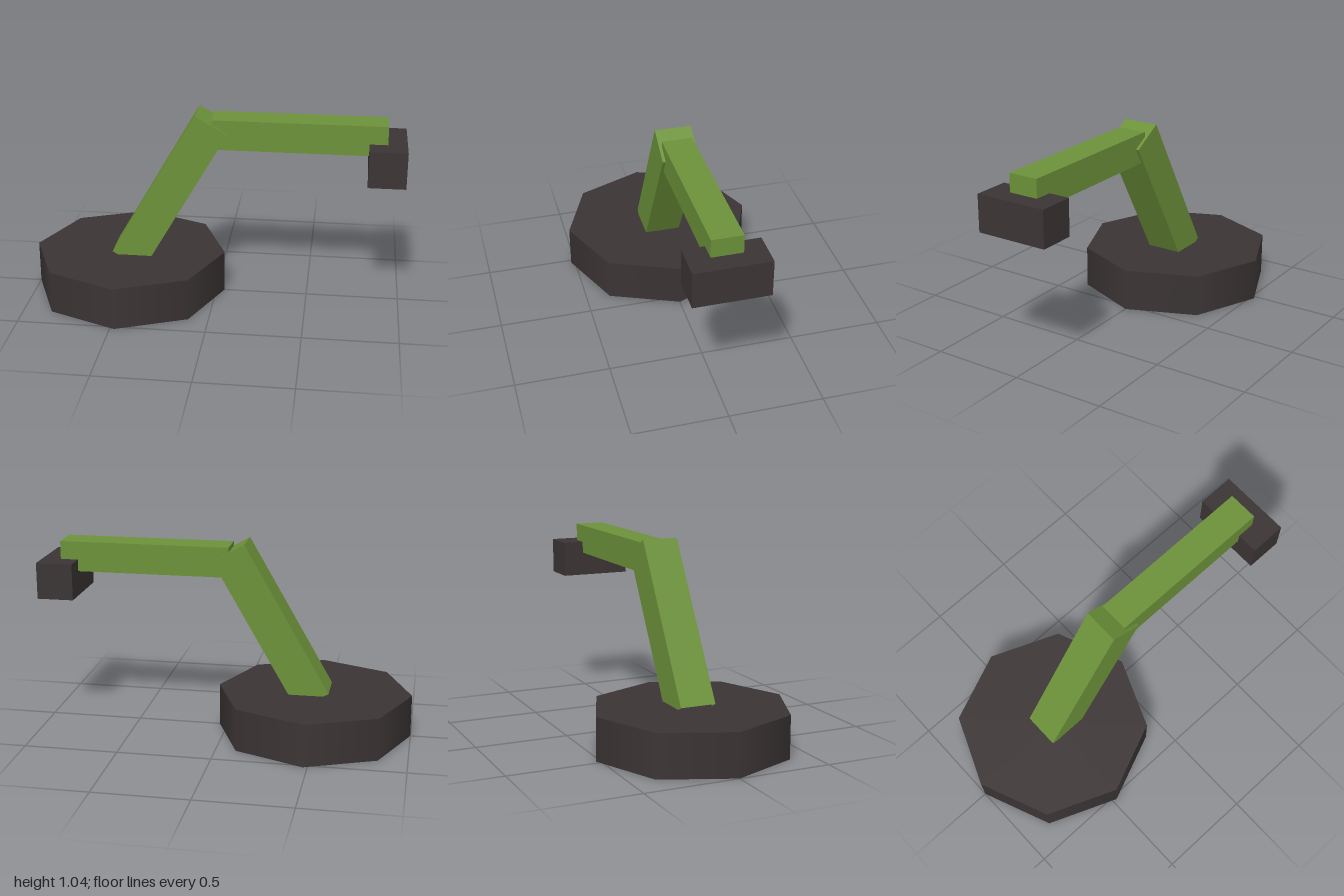
import * as THREE from 'three';

// Box whose underside is left open
function openBox(w, h, d) {
  const g = new THREE.BoxGeometry(w, h, d);
  const index = Array.from(g.index.array);
  index.splice(18, 6); // the -y face
  g.setIndex(index);
  g.clearGroups();
  return g;
}

export function createModel() {
  const green = new THREE.MeshStandardMaterial({ color: 0x6b9139, side: THREE.DoubleSide });
  green.name = 'leaf green';
  const dark = new THREE.MeshStandardMaterial({ color: 0x3b3434, side: THREE.DoubleSide });
  dark.name = 'charcoal';

  const model = new THREE.Group();
  model.name = 'deskLamp';
  const add = (name, geometry, material, x, y, tilt = 0) => {
    const mesh = new THREE.Mesh(geometry, material);
    mesh.name = name;
    mesh.position.set(x, y, 0);
    mesh.rotation.z = tilt;
    model.add(mesh);
  };

  // Hollow eight-sided foot: wall and lid, no floor
  const r = 0.523, h = 0.23;
  add('baseWall', new THREE.CylinderGeometry(r, r, h, 8, 1, true), dark, -0.477, h / 2);
  const lid = new THREE.CircleGeometry(r, 8).rotateX(-Math.PI / 2);
  add('baseLid', lid, dark, -0.477, h);

  // Leaning lower arm, sunk into the foot
  add('lowerArm', openBox(0.195, 0.918, 0.195), green, -0.2475, 0.595, -Math.PI / 6);

  // Level upper arm and the hollow lamp head under its end
  add('upperArm', openBox(0.916, 0.162, 0.162), green, 0.441, 0.937);
  add('lampHead', openBox(0.196, 0.196, 0.392), dark, 0.902, 0.822);

  return model;
}
